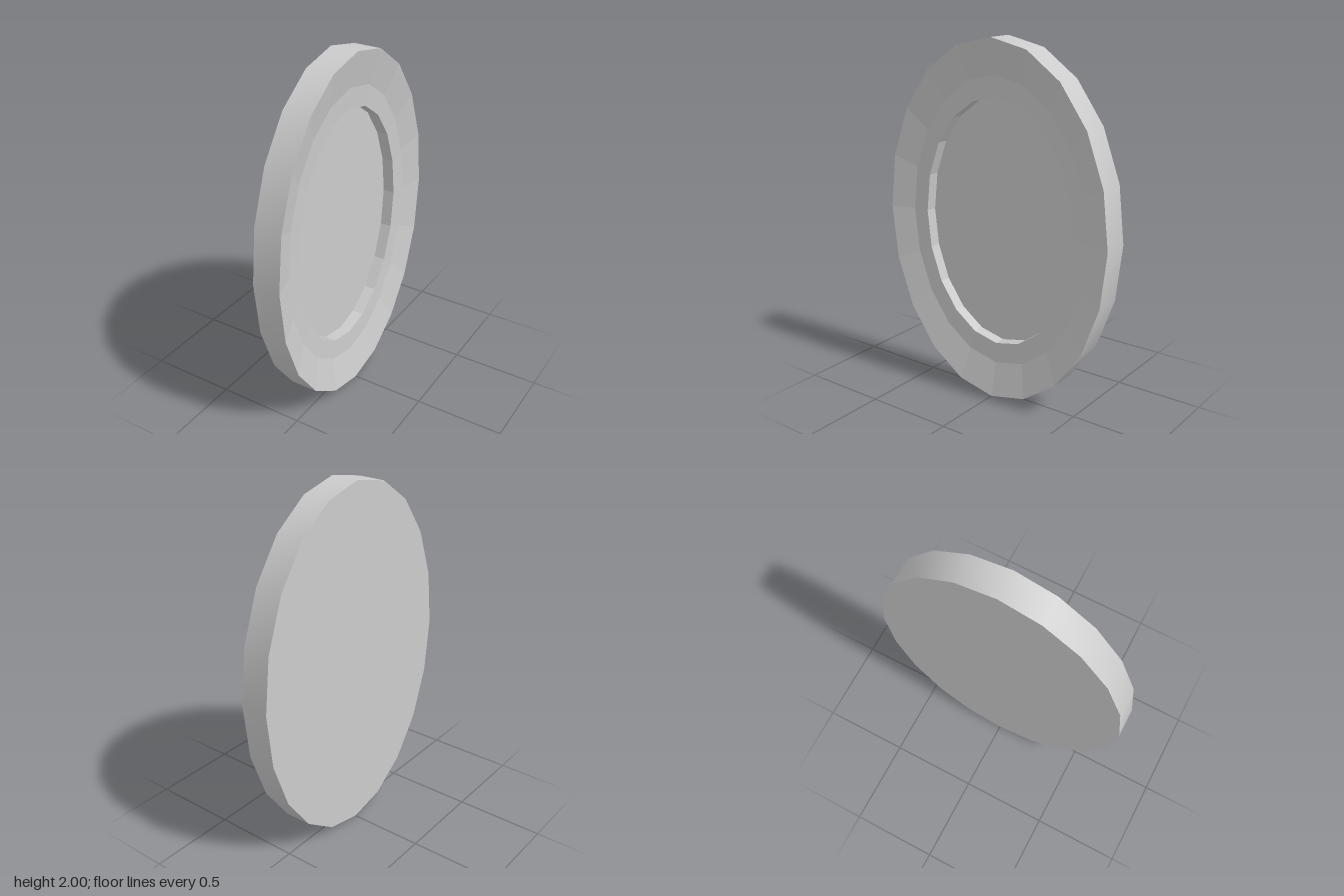
import * as THREE from 'three';

const SIDES = 20;

// Elliptical bands between cross-sections [x, half height, half width], listed back to front
function loft(name, rings, smooth = false) {
  const positions = [], indices = [];
  for (const [x, ry, rz] of rings) {
    for (let i = 0; i < SIDES; i++) {
      const a = (i / SIDES) * Math.PI * 2;
      positions.push(x, ry * Math.cos(a), rz * Math.sin(a));
    }
  }
  for (let r = 0; r < rings.length - 1; r++) {
    for (let i = 0; i < SIDES; i++) {
      const j = (i + 1) % SIDES;
      const a = r * SIDES + i, b = r * SIDES + j;
      indices.push(a, b, a + SIDES, b, b + SIDES, a + SIDES);
    }
  }
  let geometry = new THREE.BufferGeometry();
  geometry.setAttribute('position', new THREE.Float32BufferAttribute(positions, 3));
  geometry.setIndex(indices);
  if (!smooth) geometry = geometry.toNonIndexed();
  geometry.computeVertexNormals();
  return makeMesh(name, geometry, !smooth);
}

// Flat elliptical disc facing +x (side 1) or -x (side -1)
function disc(name, [x, ry, rz], side) {
  const geometry = new THREE.CircleGeometry(1, SIDES);
  geometry.rotateY((side * Math.PI) / 2);
  geometry.scale(1, ry, rz);
  geometry.translate(x, 0, 0);
  return makeMesh(name, geometry, false);
}

function makeMesh(name, geometry, flatShading) {
  const mesh = new THREE.Mesh(geometry, new THREE.MeshStandardMaterial({ color: 0xcccccc, flatShading }));
  mesh.name = name;
  mesh.position.y = 1;
  return mesh;
}

export function createModel() {
  const back = [-0.078, 1, 0.716];
  const outerEdge = [0.078, 1, 0.716];
  const rimBend = [0.037, 0.806, 0.578];
  const innerEdge = [0.032, 0.69, 0.487];
  const floor = [-0.033, 0.69, 0.487];

  const group = new THREE.Group();
  group.name = 'ovalFrame';
  group.add(
    disc('backPanel', back, -1),
    loft('outerSide', [back, outerEdge], true),
    loft('slopedRim', [outerEdge, rimBend, innerEdge]),
    loft('recessWall', [innerEdge, floor]),
    disc('recessFloor', floor, 1),
  );
  return group;
}
